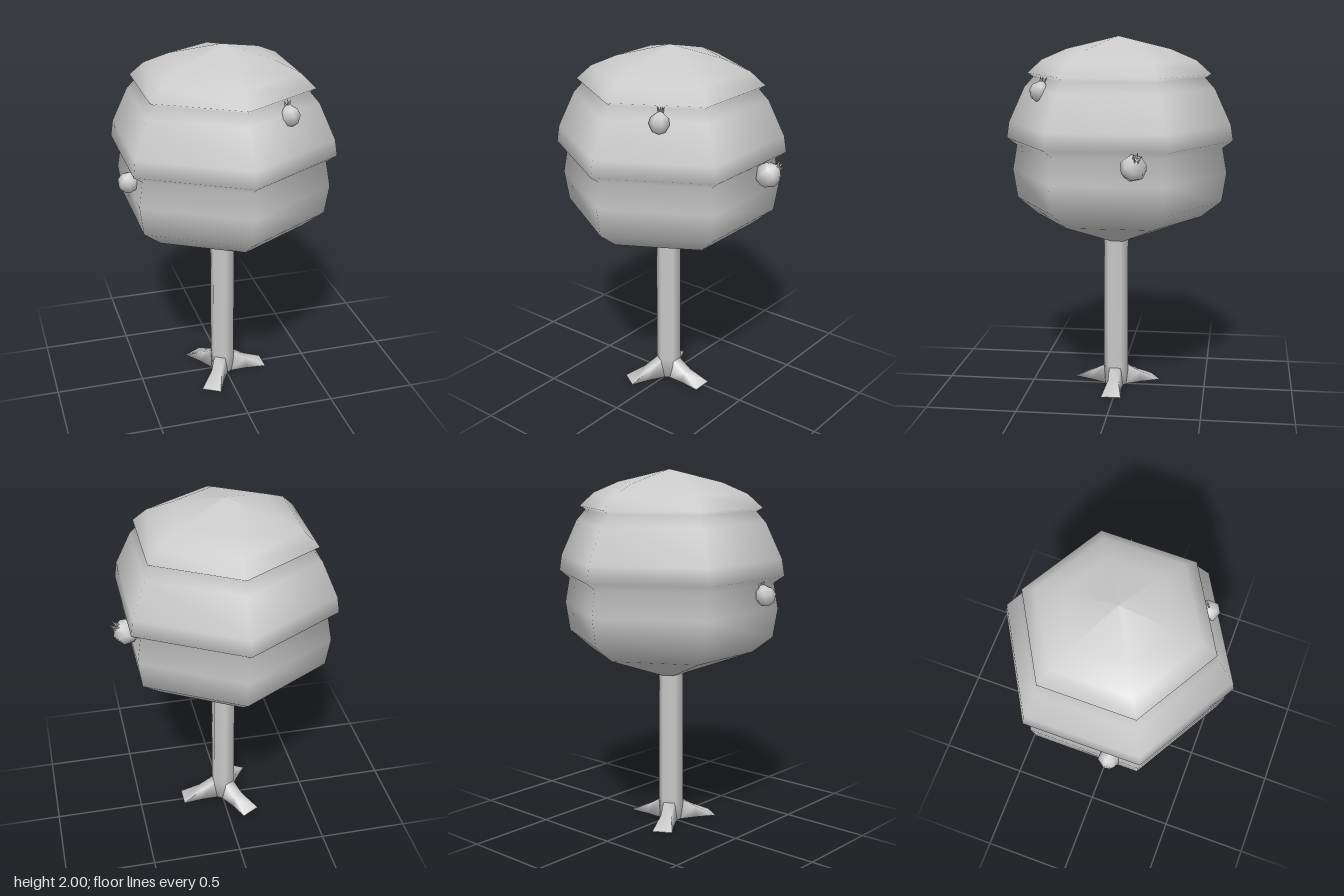
import * as THREE from 'three';

const material = new THREE.MeshStandardMaterial({ color: 0xcccccc, side: THREE.DoubleSide });

function add(parent, geometry, name) {
  const mesh = new THREE.Mesh(geometry, material);
  mesh.name = name;
  parent.add(mesh);
  return mesh;
}

// Turned shape from [radius, height] pairs, listed bottom to top
function lathe(points, sides) {
  return new THREE.LatheGeometry(points.map(([r, y]) => new THREE.Vector2(r, y)), sides);
}

// Root flaring outward along +x: three four-sided rings joined in a loop
function rootGeometry() {
  const rings = [ // distance, top height, half width at top, half width at ground
    [0.04, 0.12, 0.033, 0.045],
    [0.14, 0.06, 0.03, 0.045],
    [0.252, 0.005, 0.055, 0.058],
  ];
  const positions = [], index = [];
  for (const [d, h, top, base] of rings) {
    positions.push(d, h, -top, d, h, top, d, 0, base, d, 0, -base);
  }
  for (let r = 0; r < 2; r++) {
    for (let i = 0; i < 4; i++) {
      const a = r * 4 + i, b = r * 4 + (i + 1) % 4;
      index.push(a, b, a + 4, b, b + 4, a + 4);
    }
  }
  index.push(8, 9, 10, 8, 10, 11);
  const geometry = new THREE.BufferGeometry();
  geometry.setAttribute('position', new THREE.Float32BufferAttribute(positions, 3));
  geometry.setIndex(index);
  geometry.computeVertexNormals();
  return geometry;
}

// Round fruit with a crown of small pointed sepals
function makeFruit(radius, position, tilt) {
  const fruit = new THREE.Group();
  fruit.name = 'fruit';
  const body = [[0, -1], [0.6, -0.8], [1, -0.1], [0.85, 0.5], [0.35, 0.9], [0.22, 1.05], [0, 1]];
  add(fruit, lathe(body.map(([r, y]) => [r * radius, y * radius]), 7), 'fruitBody');
  for (let i = 0; i < 5; i++) {
    const a = (i / 5) * Math.PI * 2;
    const sepal = add(fruit, new THREE.ConeGeometry(radius * 0.14, radius * 0.6, 3), 'sepal');
    sepal.position.set(Math.sin(a) * radius * 0.25, radius * 1.2, Math.cos(a) * radius * 0.25);
    sepal.rotation.set(Math.cos(a) * 0.3, 0, -Math.sin(a) * 0.3);
  }
  fruit.position.set(...position);
  fruit.rotation.set(...tilt);
  return fruit;
}

export function createModel() {
  const tree = new THREE.Group();
  tree.name = 'tree';

  // Three-tiered hexagonal crown of leaves
  const canopy = add(tree, lathe([
    [0.07, 0.86], [0.465, 1.0], [0.58, 1.09], [0.605, 1.25], [0.58, 1.39],
    [0.637, 1.43], [0.623, 1.52], [0.533, 1.715], [0.48, 1.775],
    [0.513, 1.795], [0.43, 1.87], [0.29, 1.93], [0, 2.0],
  ], 6), 'canopy');
  canopy.position.x = -0.012;

  // Trunk and its three roots
  const base = new THREE.Group();
  base.name = 'trunkAndRoots';
  base.position.set(-0.012, 0, 0.014);
  tree.add(base);
  add(base, lathe([[0, 0], [0.07, 0], [0.07, 0.12], [0.07, 0.9]], 6), 'trunk');
  for (let i = 0; i < 3; i++) {
    add(base, rootGeometry(), 'root').rotation.y = (i * Math.PI * 2) / 3;
  }

  // Fruits hanging on the canopy
  tree.add(makeFruit(0.056, [0.24, 1.71, 0.395], [-0.3, 0, 0.15]));
  tree.add(makeFruit(0.072, [0.545, 1.352, -0.143], [-0.4, 0, -0.75]));
  tree.add(makeFruit(0.058, [-0.56, 1.338, 0.15], [0.1, 0, -0.45]));
  return tree;
}
